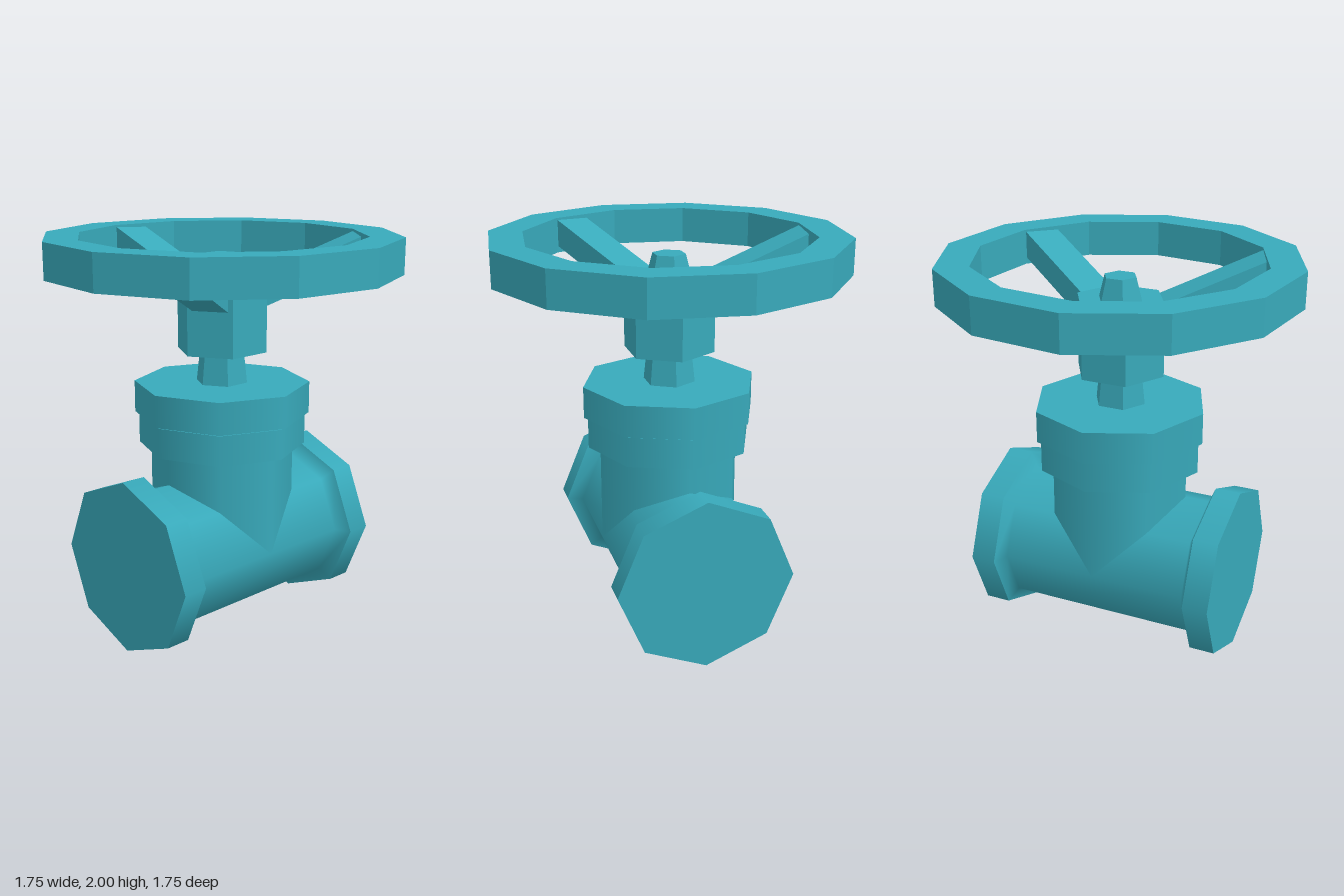
import * as THREE from 'three';

const smooth = new THREE.MeshStandardMaterial({ color: 0x38a9ba });
const flat = new THREE.MeshStandardMaterial({ color: 0x38a9ba, flatShading: true });

export function createModel() {
  const group = new THREE.Group();

  const add = (name, geometry, material, parent = group) => {
    const mesh = new THREE.Mesh(geometry, material);
    mesh.name = name;
    parent.add(mesh);
    return mesh;
  };

  // Upright prism between two heights
  const prism = (name, sides, rBottom, rTop, y0, y1, material, turn = 0) => {
    const g = new THREE.CylinderGeometry(rTop, rBottom, y1 - y0, sides);
    g.rotateY(turn).translate(0, (y0 + y1) / 2, 0);
    return add(name, g, material);
  };

  // Horizontal pipe, flaring at both ends
  const profile = [[0.44, -0.52], [0.36, -0.485], [0.36, 0.485], [0.44, 0.52]]
    .map(([r, y]) => new THREE.Vector2(r, y));
  const pipe = new THREE.LatheGeometry(profile, 8);
  pipe.rotateZ(Math.PI / 2).translate(0, 0.44, 0);
  add('pipe', pipe, smooth);

  // End flanges
  for (const [side, name] of [[1, 'leftFlange'], [-1, 'rightFlange']]) {
    const g = new THREE.CylinderGeometry(0.44, 0.44, 0.128, 8);
    g.rotateZ(Math.PI / 2).translate(side * 0.584, 0.44, 0);
    add(name, g, smooth);
  }

  // Neck and its two collars, with a thin gap between them
  prism('neck', 8, 0.36, 0.36, 0.44, 0.96, smooth);
  prism('lowerCollar', 8, 0.42, 0.42, 0.95, 1.102, smooth);
  prism('upperCollar', 8, 0.44, 0.44, 1.11, 1.27, smooth);

  // Hexagonal stem, hub and top nut
  prism('stem', 6, 0.132, 0.113, 1.265, 1.44, flat, Math.PI / 2);
  prism('hub', 6, 0.23, 0.23, 1.43, 1.797, flat, Math.PI / 2);
  prism('topNut', 6, 0.115, 0.083, 1.79, 1.91, flat, Math.PI / 2);

  // Handwheel rim
  const wheel = new THREE.Group();
  wheel.name = 'handwheel';
  group.add(wheel);
  const ring = (r) => Array.from({ length: 12 }, (_, i) => {
    const a = (i * 30 - 7.8) * Math.PI / 180;
    return new THREE.Vector2(r * Math.cos(a), r * Math.sin(a));
  });
  const rimShape = new THREE.Shape(ring(0.882));
  rimShape.holes.push(new THREE.Path(ring(0.713)));
  const rim = new THREE.ExtrudeGeometry(rimShape, { depth: 0.178, bevelEnabled: false });
  rim.rotateX(Math.PI / 2).translate(0, 2, 0);
  add('rim', rim, flat, wheel);

  // Three spokes rising from the hub to the rim
  const spokeShape = new THREE.Shape([[0.15, 1.635], [0.72, 1.86], [0.72, 1.995], [0.15, 1.77]]
    .map(([r, y]) => new THREE.Vector2(r, y)));
  for (const degrees of [90, 210, 330]) {
    const g = new THREE.ExtrudeGeometry(spokeShape, { depth: 0.18, bevelEnabled: false });
    g.translate(0, 0, -0.09).rotateY(degrees * Math.PI / 180);
    add('spoke', g, flat, wheel);
  }

  return group;
}
